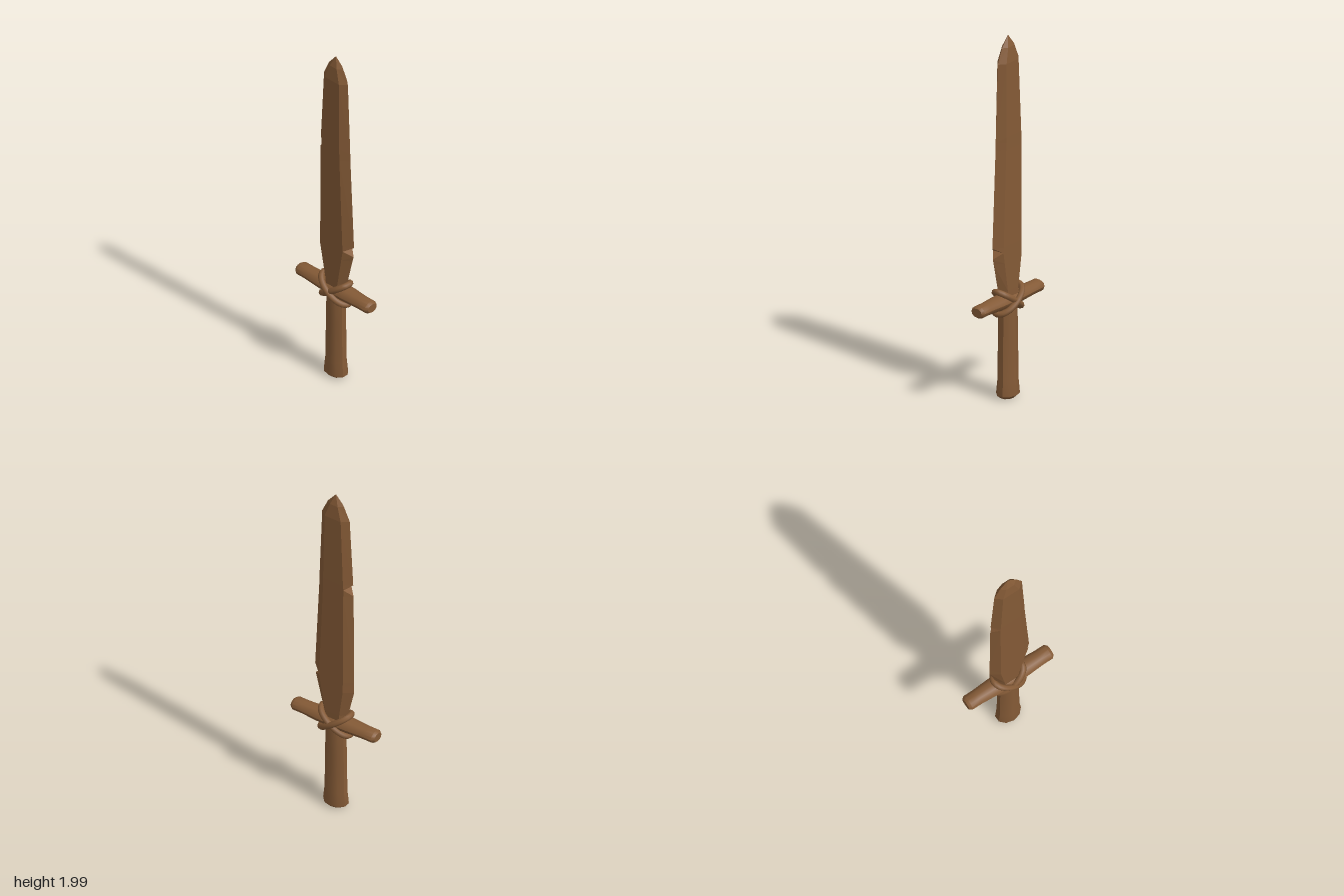
import * as THREE from 'three';
import { toCreasedNormals } from 'three/addons/utils/BufferGeometryUtils.js';

const wood = new THREE.MeshStandardMaterial({ color: 0x845a36 });
wood.name = 'brown wood';

function add(group, name, geometry) {
  const mesh = new THREE.Mesh(geometry, wood);
  mesh.name = name;
  group.add(mesh);
  return mesh;
}

// Faceted blade: each row is y, left edge, left ridge, right ridge, right edge, half thickness
function bladeGeometry() {
  const rows = [
    [0.52, -0.055, -0.035, 0.030, 0.055, 0.033],
    [0.61, -0.076, -0.043, 0.044, 0.080, 0.034],
    [0.77, -0.114, -0.066, 0.072, 0.119, 0.035],
    [0.80, -0.114, -0.066, 0.077, 0.127, 0.035],
    [0.83, -0.114, -0.067, 0.082, 0.082, 0.035], // nick in one edge
    [0.86, -0.114, -0.067, 0.080, 0.130, 0.035],
    [1.39, -0.110, -0.069, 0.058, 0.104, 0.034],
    [1.43, -0.070, -0.070, 0.057, 0.103, 0.034], // nick in the other edge
    [1.46, -0.108, -0.067, 0.057, 0.102, 0.034],
    [1.86, -0.086, -0.050, 0.050, 0.086, 0.030],
    [1.94, -0.050, -0.024, 0.024, 0.050, 0.020],
    [2.00, 0, 0, 0, 0, 0],
  ];
  const loops = rows.map(([y, l, rl, rr, r, t]) => [
    [l, y, 0], [rl, y, t], [rr, y, t], [r, y, 0], [rr, y, -t], [rl, y, -t],
  ]);
  const pos = [];
  const tri = (a, b, c) => pos.push(...a, ...b, ...c);
  for (let i = 0; i < loops.length - 1; i++) {
    for (let k = 0; k < 6; k++) {
      const n = (k + 1) % 6;
      const a = loops[i][k], b = loops[i][n], c = loops[i + 1][n], d = loops[i + 1][k];
      // The diagonal starts at the wider edge point, so nicks are cut cleanly
      const edgeFirst = k % 3 === 0;
      const lowerWider = edgeFirst ? Math.abs(a[0]) > Math.abs(d[0]) : Math.abs(b[0]) > Math.abs(c[0]);
      if (edgeFirst === lowerWider) {
        tri(a, b, c);
        tri(a, c, d);
      } else {
        tri(a, b, d);
        tri(b, c, d);
      }
    }
  }
  for (let k = 1; k < 5; k++) tri(loops[0][0], loops[0][k + 1], loops[0][k]);
  const g = new THREE.BufferGeometry();
  g.setAttribute('position', new THREE.Float32BufferAttribute(pos, 3));
  g.computeVertexNormals();
  return g;
}

function turned(points, sides) {
  return new THREE.LatheGeometry(points.map(([r, y]) => new THREE.Vector2(r, y)), sides);
}

// Tilted loop of cord around the crossing
function cordGeometry(tilt, depth) {
  const pts = [];
  for (let i = 0; i < 16; i++) {
    const t = (i / 16) * Math.PI * 2;
    pts.push(new THREE.Vector3(0.087 * Math.cos(t), 0.547 + tilt * 0.061 * Math.cos(t), depth * Math.sin(t)));
  }
  return new THREE.TubeGeometry(new THREE.CatmullRomCurve3(pts, true), 32, 0.017, 8, true);
}

export function createModel() {
  const sword = new THREE.Group();
  sword.name = 'woodenSword';

  add(sword, 'blade', bladeGeometry());

  // Oval grip with a flared foot
  const grip = turned([
    [0, 0.008], [0.045, 0.008], [0.071, 0.026], [0.072, 0.035], [0.064, 0.11], [0.061, 0.35], [0.057, 0.56], [0, 0.56],
  ], 10);
  grip.scale(1, 1, 0.76);
  add(sword, 'grip', toCreasedNormals(grip, 0.65));

  // Crossguard, thicker in the middle with chamfered ends
  const guard = turned([
    [0, -0.262], [0.024, -0.262], [0.033, -0.247], [0.033, -0.19], [0.038, -0.09], [0.039, 0],
    [0.038, 0.09], [0.033, 0.19], [0.033, 0.247], [0.024, 0.262], [0, 0.262],
  ], 12);
  guard.rotateZ(-Math.PI / 2);
  guard.scale(1, 1, 1.33);
  add(sword, 'crossguard', toCreasedNormals(guard, 0.65)).position.y = 0.547;

  // Two crossed cord loops
  add(sword, 'outerCord', cordGeometry(-1, 0.061));
  add(sword, 'innerCord', cordGeometry(1, 0.053));

  return sword;
}
